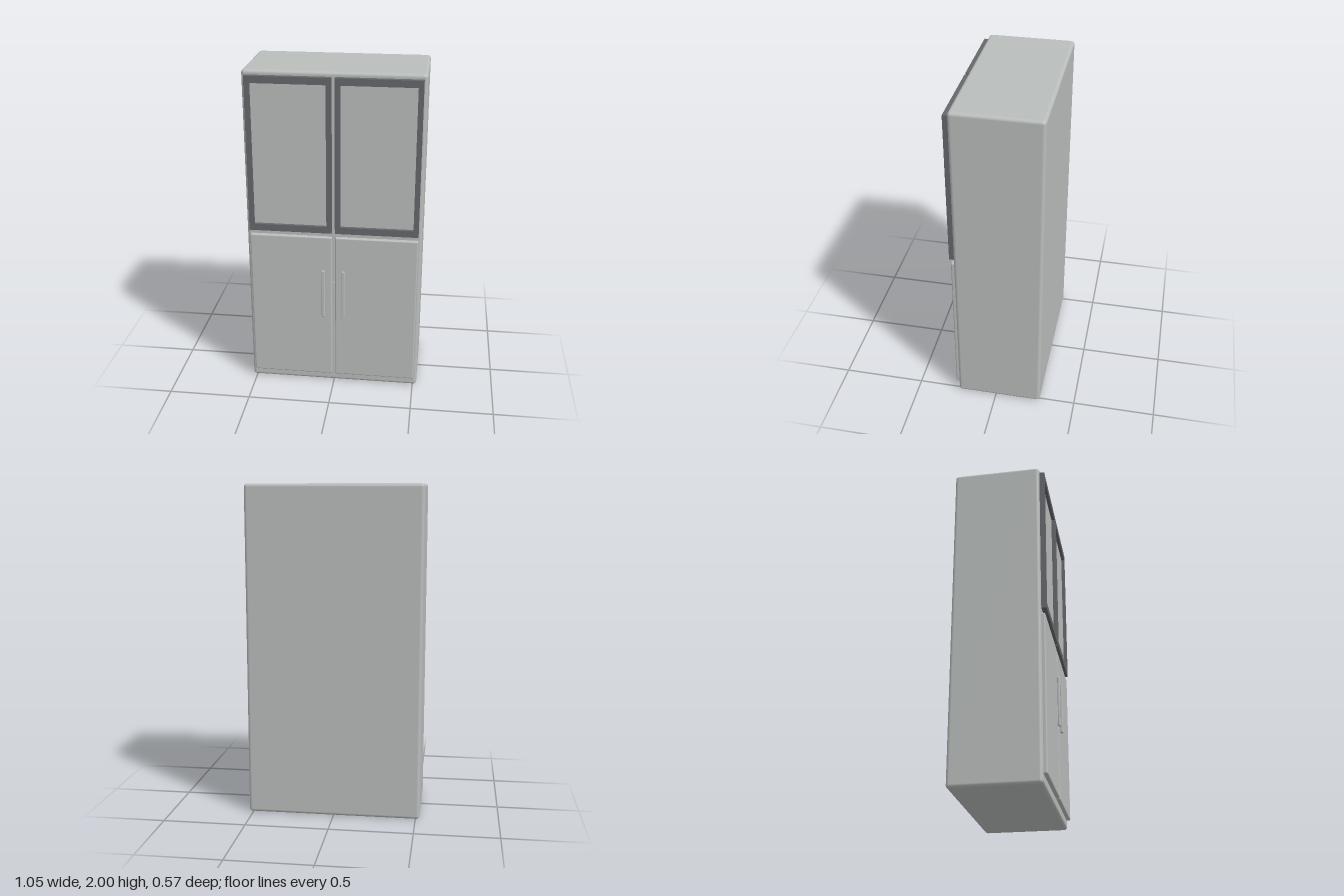
import * as THREE from 'three';
import { RoundedBoxGeometry } from 'three/addons/geometries/RoundedBoxGeometry.js';

export function createModel() {
  const model = new THREE.Group();
  model.name = 'cabinet';
  const paint = new THREE.MeshStandardMaterial({ color: 0xb9bdbb });
  paint.name = 'light grey paint';
  const dark = new THREE.MeshStandardMaterial({ color: 0x66676b });
  dark.name = 'dark grey frame';

  // Box given by its minimum and maximum corners, rounded when radius > 0
  function box(name, parent, material, min, max, radius = 0) {
    const size = max.map((v, i) => v - min[i]);
    const geometry = radius
      ? new RoundedBoxGeometry(...size, 4, radius)
      : new THREE.BoxGeometry(...size);
    const mesh = new THREE.Mesh(geometry, material);
    mesh.name = name;
    mesh.position.set(...max.map((v, i) => (v + min[i]) / 2));
    parent.add(mesh);
    return mesh;
  }

  // Rectangular path, used for the frame outline and its opening
  function rectangle(path, x0, y0, x1, y1) {
    path.moveTo(x0, y0);
    path.lineTo(x1, y0);
    path.lineTo(x1, y1);
    path.lineTo(x0, y1);
    path.closePath();
    return path;
  }

  box('body', model, paint, [-0.525, 0, -0.283], [0.525, 2, 0.24], 0.02);

  for (const side of [-1, 1]) {
    const label = side > 0 ? 'left' : 'right';
    const sideBox = (name, parent, x0, x1, y0, y1, z0, z1, r) => {
      const a = Math.min(side * x0, side * x1), b = Math.max(side * x0, side * x1);
      return box(name, parent, paint, [a, y0, z0], [b, y1, z1], r);
    };

    // Upper door: dark frame around a recessed panel
    const upper = new THREE.Group();
    upper.name = label + 'UpperDoor';
    model.add(upper);
    const cx = side * 0.2575;
    const shape = rectangle(new THREE.Shape(), cx - 0.2475, 1.035, cx + 0.2475, 1.972);
    shape.holes.push(rectangle(new THREE.Path(), cx - 0.217, 1.076, cx + 0.217, 1.931));
    const frame = new THREE.Mesh(
      new THREE.ExtrudeGeometry(shape, { depth: 0.032, bevelEnabled: false }), dark);
    frame.name = 'frame';
    frame.position.z = 0.238;
    upper.add(frame);
    sideBox('panel', upper, 0.04, 0.475, 1.075, 1.932, 0.238, 0.25);

    // Lower door with bar handle on two posts
    const lower = new THREE.Group();
    lower.name = label + 'LowerDoor';
    model.add(lower);
    sideBox('door', lower, 0.01, 0.505, 0.057, 1.004, 0.23, 0.262, 0.008);
    sideBox('handleBar', lower, 0.051, 0.071, 0.478, 0.792, 0.268, 0.283, 0.005);
    for (const y of [0.485, 0.765])
      sideBox('handlePost', lower, 0.054, 0.068, y, y + 0.02, 0.258, 0.272);
  }

  // Small catch plate between the lower doors
  box('catchPlate', model, paint, [-0.014, 0.573, 0.236], [0.014, 0.7, 0.247]);

  return model;
}
